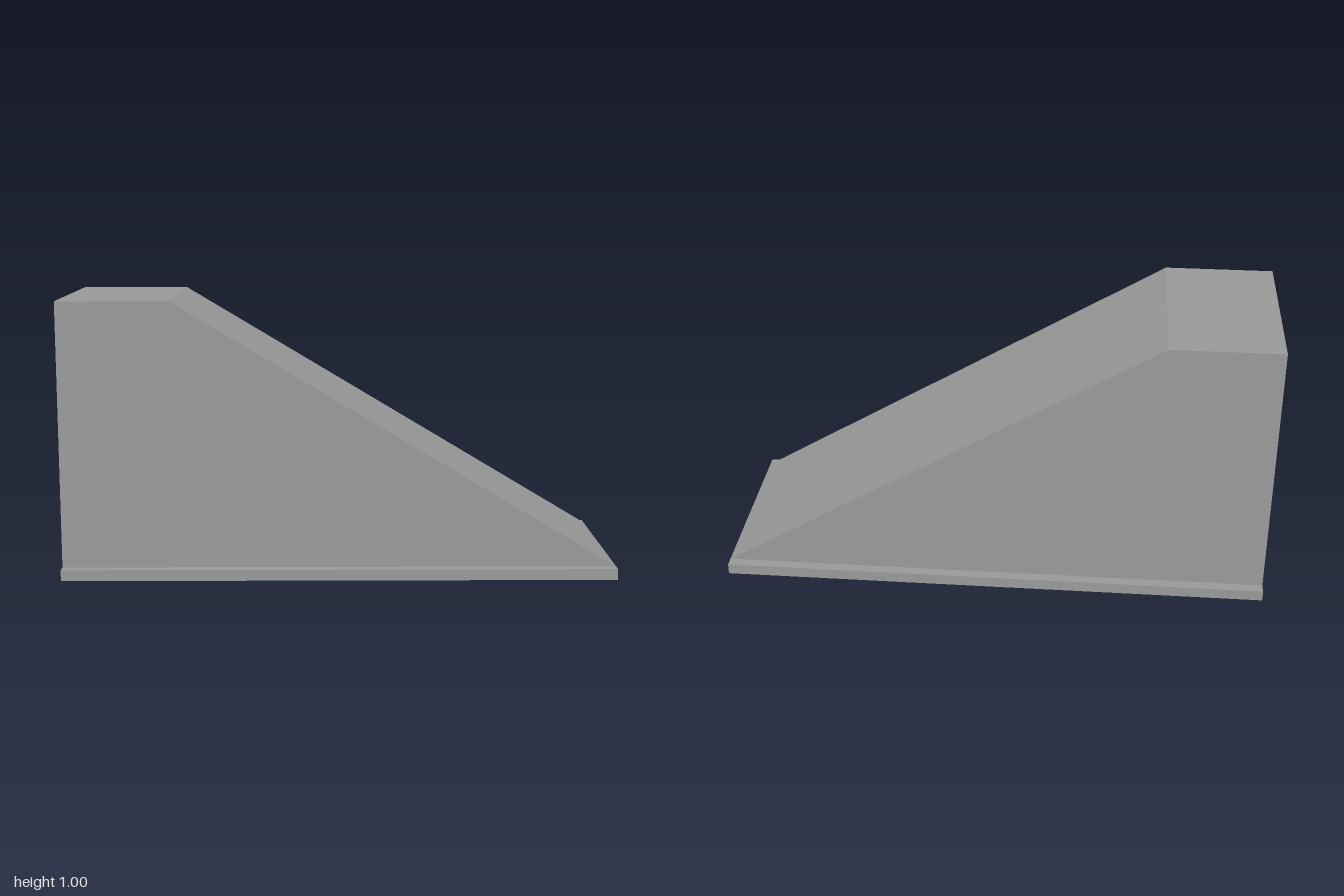
import * as THREE from 'three';

const material = new THREE.MeshStandardMaterial({ color: 0x999999, flatShading: true });
const BASE = 0.04, FLOOR = 0.004, HALF = 0.342, INNER = 0.272, PLATE = 0.381, BACK = -0.63, CEILING = 0.93;

function box(name, w, h, d, x, y, z) {
  const mesh = new THREE.Mesh(new THREE.BoxGeometry(w, h, d), material);
  mesh.name = name;
  mesh.position.set(x, y, z);
  return mesh;
}

// Side-on outline pushed through from z0 to z1
function slab(name, points, z0, z1) {
  const shape = new THREE.Shape(points.map(([x, y]) => new THREE.Vector2(x, y)));
  const geometry = new THREE.ExtrudeGeometry(shape, { depth: z1 - z0, bevelEnabled: false });
  geometry.translate(0, 0, z0);
  const mesh = new THREE.Mesh(geometry, material);
  mesh.name = name;
  return mesh;
}

export function createModel() {
  const group = new THREE.Group();
  group.name = 'stairHouse';

  // Side walls with the full sloping outline, each on a wider base strip
  const outline = [[-1, BASE], [1, BASE], [-0.6, 1], [-1, 1]];
  group.add(slab('leftWall', outline, INNER, HALF));
  group.add(slab('rightWall', outline, -HALF, -INNER));
  for (const side of [1, -1]) {
    group.add(box(side > 0 ? 'leftBase' : 'rightBase', 2, BASE, PLATE - INNER, 0, BASE / 2, side * (PLATE + INNER) / 2));
  }

  // Roof, sloping body and thin floor, cut through by the entrance recess
  const body = [[-1, 0], [1, 0], [1, BASE], [-0.6, 1], [-1, 1], [-1, CEILING], [BACK, CEILING], [BACK, FLOOR], [-1, FLOOR]];
  group.add(slab('roofSlopeAndFloor', body, -INNER, INNER));

  // Small handle on the back of the recess
  group.add(box('handle', 0.01, 0.05, 0.02, BACK - 0.005, 0.46, 0.255));
  return group;
}
